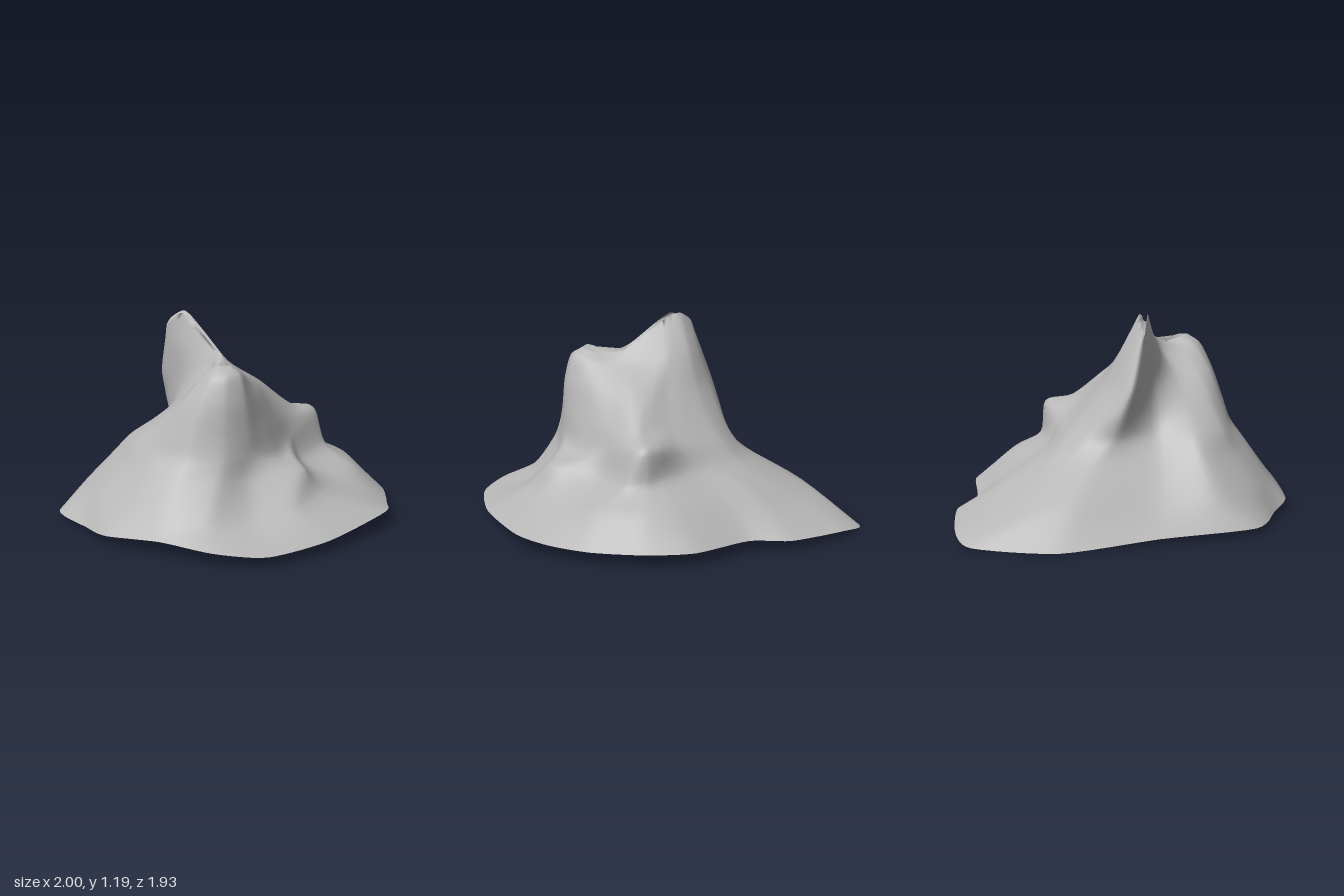
import * as THREE from 'three';

const ROUND = 108; // points around each section
const RISE = 5;    // rows between sections

// Horizontal section: x,z pairs running west, south, east, north; y may vary by point
function section(y, xz) {
  const pts = [];
  for (let i = 0; i < xz.length / 2; i++) {
    pts.push(new THREE.Vector3(xz[2 * i], Array.isArray(y) ? y[i] : y, xz[2 * i + 1]));
  }
  const curve = new THREE.CatmullRomCurve3(pts, true, 'catmullrom', 0.35);
  return Array.from({ length: ROUND }, (_, j) => curve.getPoint(j / ROUND));
}

// Outer edge of the skirt
const rim = section(
  [0.01, 0.04, 0.05, 0.05, 0.07, 0.1, 0.09, 0.07, 0.08, 0.11, 0.09, 0.09, 0.09, 0.09, 0.08, 0.07, 0.05, 0.02],
  [-1, -0.33, -0.82, 0.22, -0.64, 0.76, -0.32, 0.88, -0.1, 0.96, 0.25, 0.91, 0.58, 0.85, 0.82, 0.67, 0.96, 0.28,
    1, -0.24, 0.89, -0.44, 0.73, -0.65, 0.48, -0.83, 0.22, -0.93, -0.15, -0.88, -0.38, -0.97, -0.77, -0.93, -0.95, -0.82]);

// Gentle lower slope
const skirt = section(
  [0.21, 0.17, 0.2, 0.2, 0.2, 0.2, 0.18, 0.16, 0.2, 0.23, 0.22, 0.25, 0.26, 0.26, 0.24, 0.22, 0.2, 0.19],
  [-0.8, -0.25, -0.66, 0.2, -0.6, 0.56, -0.33, 0.77, -0.05, 0.85, 0.24, 0.83, 0.46, 0.72, 0.6, 0.5, 0.73, 0.26,
    0.73, 0, 0.68, -0.28, 0.62, -0.5, 0.42, -0.68, 0.22, -0.72, -0.12, -0.68, -0.35, -0.7, -0.62, -0.62, -0.8, -0.5]);

// Foot of the cliffs, with the east spur
const foot = section(
  [0.38, 0.38, 0.38, 0.38, 0.38, 0.38, 0.38, 0.36, 0.37, 0.37, 0.34, 0.36, 0.37, 0.38, 0.38, 0.38, 0.38, 0.38],
  [-0.55, -0.15, -0.42, 0.2, -0.46, 0.47, -0.25, 0.64, 0, 0.72, 0.22, 0.7, 0.4, 0.56, 0.47, 0.36, 0.62, 0.14,
    0.62, 0.03, 0.46, -0.17, 0.43, -0.46, 0.32, -0.53, 0.2, -0.52, -0.03, -0.47, -0.22, -0.46, -0.38, -0.42, -0.5, -0.32]);

// Top of the spur and the west gully
const ledge = section(
  [0.5, 0.5, 0.5, 0.5, 0.5, 0.5, 0.5, 0.5, 0.44, 0.44, 0.49, 0.55, 0.57, 0.56, 0.52, 0.5, 0.5, 0.5],
  [-0.44, -0.05, -0.3, 0.19, -0.36, 0.42, -0.2, 0.58, 0, 0.63, 0.22, 0.62, 0.38, 0.5, 0.44, 0.33, 0.47, 0.12,
    0.45, 0, 0.39, -0.16, 0.36, -0.44, 0.3, -0.5, 0.2, -0.48, 0.03, -0.4, -0.14, -0.37, -0.3, -0.33, -0.42, -0.22]);

// Level of the rear knob
const shoulder = section(
  [0.64, 0.62, 0.62, 0.62, 0.62, 0.62, 0.62, 0.62, 0.62, 0.62, 0.61, 0.61, 0.62, 0.62, 0.63, 0.63, 0.63, 0.64],
  [-0.44, 0, -0.24, 0.18, -0.2, 0.38, -0.1, 0.52, 0.05, 0.58, 0.22, 0.58, 0.37, 0.47, 0.43, 0.32, 0.42, 0.16,
    0.39, 0.03, 0.35, -0.12, 0.31, -0.29, 0.26, -0.33, 0.18, -0.32, 0.05, -0.28, -0.1, -0.26, -0.25, -0.23, -0.38, -0.14]);

const upper = section(0.8,
  [-0.42, 0.06, -0.2, 0.17, 0, 0.3, 0.05, 0.44, 0.12, 0.51, 0.24, 0.52, 0.36, 0.45, 0.41, 0.33, 0.38, 0.2,
    0.34, 0.1, 0.27, 0, 0.2, -0.1, 0.13, -0.13, 0.06, -0.14, -0.03, -0.13, -0.12, -0.13, -0.24, -0.11, -0.36, -0.04]);

// Base of the two summits
const neck = section(
  [1, 1, 0.92, 0.92, 0.94, 0.94, 0.94, 0.94, 0.93, 0.92, 0.92, 0.92, 0.93, 0.95, 0.98, 1, 1.01, 1.01],
  [-0.36, 0.1, -0.18, 0.17, 0.07, 0.22, 0.14, 0.34, 0.18, 0.42, 0.26, 0.45, 0.34, 0.41, 0.37, 0.32, 0.33, 0.24,
    0.26, 0.17, 0.19, 0.12, 0.12, 0.07, 0.05, 0.03, -0.03, 0, -0.1, -0.01, -0.17, -0.01, -0.24, -0.01, -0.32, 0.03]);

// Narrow crest joining the tall west peak to the lower south-east one
const crest = section(
  [1.1, 1.195, 1.03, 0.97, 0.99, 1, 0.99, 0.99, 0.98, 0.965, 0.99, 1.025, 1.06, 1.1, 1.14, 1.18, 1.2, 1.15],
  [-0.33, 0.12, -0.19, 0.135, 0.06, 0.165, 0.17, 0.24, 0.21, 0.34, 0.25, 0.37, 0.29, 0.35, 0.3, 0.32, 0.27, 0.27,
    0.19, 0.215, 0.12, 0.165, 0.07, 0.145, 0.02, 0.135, -0.04, 0.12, -0.1, 0.11, -0.16, 0.1, -0.23, 0.085, -0.31, 0.1]);

function surface(points, index) {
  const geo = new THREE.BufferGeometry().setFromPoints(points);
  geo.setIndex(index);
  geo.computeVertexNormals();
  return geo;
}

// Loft smoothly up through the sections and close the crest
function mountainGeometry(sections) {
  const rows = (sections.length - 1) * RISE;
  const points = [], index = [];
  const risers = rim.map((_, j) =>
    new THREE.CatmullRomCurve3(sections.map(s => s[j]), false, 'catmullrom', 0.4));
  for (let r = 0; r <= rows; r++) {
    for (const riser of risers) points.push(riser.getPoint(r / rows));
  }
  for (let r = 0; r < rows; r++) {
    for (let j = 0; j < ROUND; j++) {
      const k = (j + 1) % ROUND, a = r * ROUND, b = a + ROUND;
      index.push(a + j, a + k, b + k, a + j, b + k, b + j);
    }
  }
  const top = rows * ROUND;
  const outline = points.slice(top).map(p => new THREE.Vector2(p.x, -p.z));
  for (const f of THREE.ShapeUtils.triangulateShape(outline, [])) index.push(...f.map(i => top + i));
  return surface(points, index);
}

// Nearly flat closing face below the rim
function undersideGeometry() {
  const index = [];
  for (let j = 0; j < ROUND; j++) index.push(ROUND, (j + 1) % ROUND, j);
  return surface([...rim, new THREE.Vector3(0, 0.08, 0)], index);
}

export function createModel() {
  const group = new THREE.Group();
  group.name = 'rockyMountain';
  const stone = new THREE.MeshStandardMaterial({ color: 0xb8b8b8 });
  stone.name = 'greyStone';

  const mountain = new THREE.Mesh(
    mountainGeometry([rim, skirt, foot, ledge, shoulder, upper, neck, crest]), stone);
  mountain.name = 'mountain';
  const underside = new THREE.Mesh(undersideGeometry(), stone);
  underside.name = 'underside';
  group.add(mountain, underside);
  return group;
}
